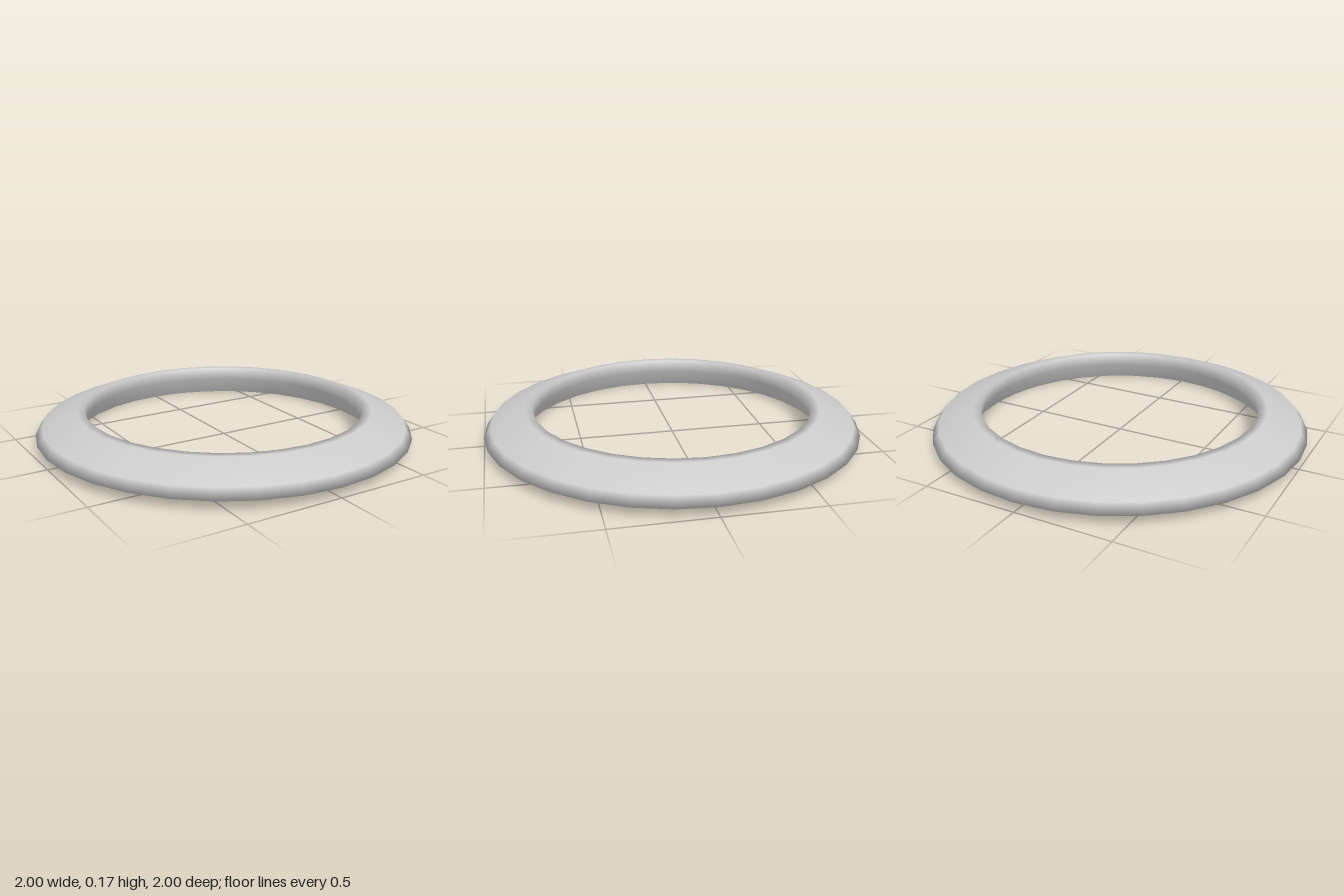
import * as THREE from 'three';

export function createModel() {
  const group = new THREE.Group();
  group.name = 'ring';

  // Closed cross-section [radius, height]: bottom edge, outer rim, top, inner wall
  const profile = [
    [0.81, 0],
    [1.0, 0.05],
    [0.965, 0.1],
    [0.785, 0.17],
    [0.74, 0.17],
    [0.745, 0.1],
    [0.81, 0],
  ].map(([r, y]) => new THREE.Vector2(r, y));

  const band = new THREE.Mesh(
    new THREE.LatheGeometry(profile, 32),
    new THREE.MeshStandardMaterial({ color: 0xcccccc })
  );
  band.name = 'ringBand';
  group.add(band);
  return group;
}
